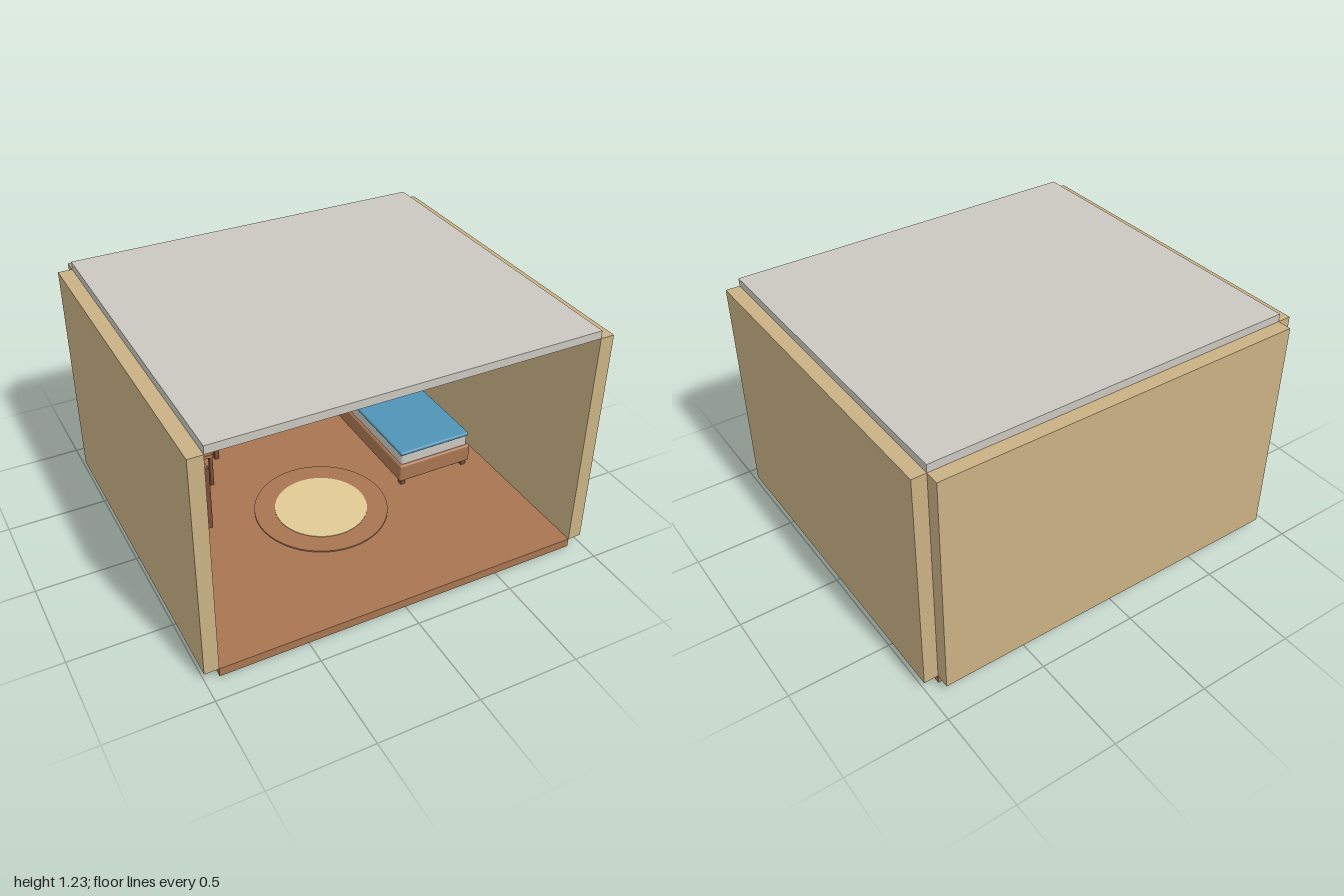
import * as THREE from 'three';
import { RoundedBoxGeometry } from 'three/addons/geometries/RoundedBoxGeometry.js';

const mat = (name, color) => Object.assign(new THREE.MeshStandardMaterial({ color }), { name });

export function createModel() {
  const wall = mat('wall tan', 0xc9b183);
  const wood = mat('light wood', 0xa87551);
  const dark = mat('dark wood', 0x7b4d37);
  const white = mat('off white', 0xcac7c0);
  const green = mat('curtain green', 0x55aa80);
  const sky = mat('window blue', 0x8ab4cc);
  const blue = mat('blanket blue', 0x4f93b5);
  const cream = mat('cream', 0xdfc994);
  const gold = mat('lamp gold', 0xd0a132);
  const steel = mat('steel', 0x8fa3b0);

  const model = new THREE.Group();
  model.name = 'furnishedRoom';
  const group = (name) => {
    const g = new THREE.Group();
    g.name = name;
    model.add(g);
    return g;
  };
  const add = (parent, name, geometry, material, x, y, z) => {
    const m = new THREE.Mesh(geometry, material);
    m.name = name;
    m.position.set(x, y, z);
    parent.add(m);
    return m;
  };
  // Box given by its limits on each axis; r rounds the edges
  const box = (parent, name, material, x0, x1, y0, y1, z0, z1, r = 0) => {
    const s = [x1 - x0, y1 - y0, z1 - z0];
    const geo = r ? new RoundedBoxGeometry(...s, 2, r) : new THREE.BoxGeometry(...s);
    return add(parent, name, geo, material, (x0 + x1) / 2, (y0 + y1) / 2, (z0 + z1) / 2);
  };
  // Four legs at the corners of a footprint
  const legs = (parent, name, material, x0, x1, y0, y1, z0, z1, t) => {
    for (const x of [x0, x1 - t]) for (const z of [z0, z1 - t]) {
      box(parent, name, material, x, x + t, y0, y1, z, z + t);
    }
  };
  const F = 0.045; // floor level

  // Room shell, open at the front
  const room = group('room');
  box(room, 'floor', wood, -0.93, 0.93, 0, F, -0.81, 0.88);
  box(room, 'ceiling', white, -0.93, 0.93, 1.19, 1.23, -0.81, 0.88);
  box(room, 'backWall', wall, -0.93, 0.93, F, 1.19, -0.88, -0.81);
  box(room, 'rightWall', wall, -1, -0.93, F, 1.19, -0.81, 0.88);
  box(room, 'leftWall', wall, 0.93, 1, F, 1.19, -0.81, 0.88);

  // Window and curtains
  const win = group('window');
  box(win, 'glass', sky, -0.025, 0.525, 0.467, 0.935, -0.811, -0.802);
  box(win, 'verticalBar', white, 0.24, 0.26, 0.45, 0.955, -0.81, -0.785);
  box(win, 'horizontalBar', white, -0.035, 0.535, 0.69, 0.71, -0.81, -0.787);
  for (const x of [-0.18, 0.54]) {
    box(win, 'curtain', green, x, x + 0.145, 0.32, 1.0, -0.81, -0.77, 0.01);
  }

  // Door with frame and knob on the side wall
  const door = group('door');
  box(door, 'doorPanel', dark, -0.931, -0.92, F, 0.88, -0.33, 0.03);
  for (const z of [-0.345, 0.03]) {
    box(door, 'doorPost', wood, -0.931, -0.915, F, 0.895, z, z + 0.015);
  }
  box(door, 'doorLintel', wood, -0.931, -0.915, 0.88, 0.895, -0.33, 0.03);
  add(door, 'knob', new THREE.SphereGeometry(0.017, 16, 12), sky, -0.91, 0.47, -0.29);

  // Wall bookshelf with two rows of books
  const shelf = group('bookshelf');
  box(shelf, 'shelfBack', dark, -0.93, -0.918, 0.59, 0.905, 0.21, 0.61);
  for (const z of [0.21, 0.595]) {
    box(shelf, 'shelfSide', dark, -0.93, -0.815, 0.59, 0.905, z, z + 0.015);
  }
  for (const y of [0.592, 0.74, 0.888]) {
    box(shelf, 'shelfBoard', wood, -0.92, -0.817, y, y + 0.015, 0.225, 0.595);
  }
  const spines = [blue, gold, green, sky, dark, gold, blue, green];
  [0.607, 0.755].forEach((y, row) => {
    for (let i = 0; i < 11; i++) {
      const z = 0.575 - i * 0.032;
      const h = 0.09 + ((i * 5 + row * 3) % 4) * 0.01;
      box(shelf, 'book', spines[(i + row * 3) % 8], -0.915, -0.835, y, y + h, z - 0.026, z);
    }
  });

  // Desk with drawer unit
  const desk = group('desk');
  box(desk, 'deskTop', wood, -0.85, -0.34, 0.352, 0.37, -0.79, -0.505);
  legs(desk, 'deskLeg', dark, -0.845, -0.345, F, 0.352, -0.775, -0.515, 0.024);
  box(desk, 'drawerUnit', dark, -0.465, -0.35, 0.255, 0.352, -0.765, -0.525);

  // Things on the desk
  const items = group('deskItems');
  box(items, 'screenBase', dark, -0.79, -0.57, 0.37, 0.384, -0.68, -0.55);
  box(items, 'screen', dark, -0.77, -0.59, 0.384, 0.508, -0.69, -0.677);
  box(items, 'closedBook', dark, -0.48, -0.38, 0.37, 0.383, -0.69, -0.56);
  const lamp = group('deskLamp');
  add(lamp, 'lampBase', new THREE.CylinderGeometry(0.035, 0.035, 0.012, 24), steel, -0.745, 0.376, -0.735);
  add(lamp, 'lampPole', new THREE.CylinderGeometry(0.006, 0.006, 0.16, 12), steel, -0.745, 0.46, -0.735);
  add(lamp, 'lampShade', new THREE.CylinderGeometry(0.046, 0.046, 0.06, 24), gold, -0.745, 0.56, -0.735);

  // Chair turned towards the desk
  const chair = group('chair');
  box(chair, 'chairSeat', wood, -0.645, -0.457, 0.225, 0.243, -0.495, -0.312);
  box(chair, 'chairBack', wood, -0.645, -0.457, 0.243, 0.455, -0.332, -0.314);
  legs(chair, 'chairLeg', dark, -0.645, -0.457, F, 0.225, -0.492, -0.315, 0.018);

  // Bed with its head at the back wall
  const bed = group('bed');
  box(bed, 'headboard', dark, 0.39, 0.83, 0.085, 0.425, -0.8, -0.765, 0.01);
  box(bed, 'bedFrame', wood, 0.397, 0.823, 0.08, 0.18, -0.77, 0.15, 0.01);
  box(bed, 'mattress', white, 0.41, 0.81, 0.17, 0.24, -0.76, 0.135, 0.012);
  box(bed, 'blanket', blue, 0.404, 0.816, 0.236, 0.257, -0.48, 0.14, 0.008);
  box(bed, 'pillow', cream, 0.49, 0.735, 0.235, 0.282, -0.74, -0.58, 0.02);
  legs(bed, 'bedLeg', dark, 0.415, 0.815, F, 0.085, -0.75, 0.13, 0.026);

  // Round rug
  const rug = group('rug');
  add(rug, 'rugBorder', new THREE.CylinderGeometry(0.34, 0.34, 0.007, 48), wood, -0.045, F + 0.0035, 0.11);
  add(rug, 'rugCentre', new THREE.CylinderGeometry(0.235, 0.235, 0.009, 48), cream, -0.045, F + 0.0055, 0.11);

  return model;
}
